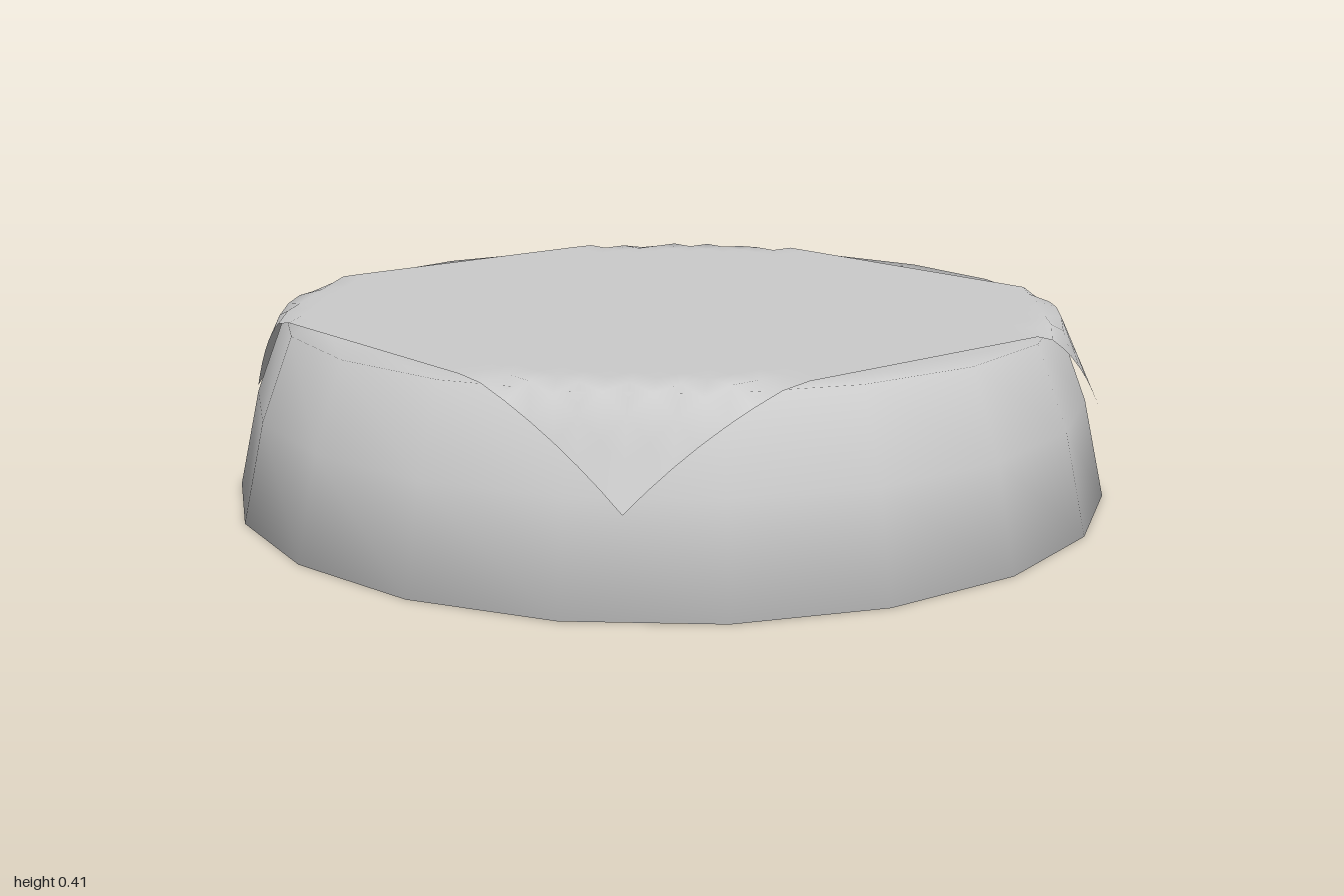
import * as THREE from 'three';

const grey = { color: 0xcccccc };

// Round patty: 20-sided tapered disc with smooth shading
function makePatty() {
  const profile = [[0, 0], [0.9, 0], [1, 0], [0.95, 0.22], [0.88, 0.4], [0.8, 0.402], [0, 0.402]]
    .map(([r, y]) => new THREE.Vector2(r, y));
  const patty = new THREE.Mesh(
    new THREE.LatheGeometry(profile, 20),
    new THREE.MeshStandardMaterial(grey)
  );
  patty.name = 'patty';
  return patty;
}

// Thin square slice lying on the patty, its four corners draped down the side
function makeSlice() {
  const n = 24, bend = 0.885;
  // corners of the slice while still flat (x, z)
  const backRight = [-0.79, -0.8], backLeft = [0.81, -0.78];
  const frontRight = [-0.82, 0.76], frontLeft = [0.73, 0.86];
  const geometry = new THREE.PlaneGeometry(1, 1, n, n);
  const pos = geometry.attributes.position;
  const mix = THREE.MathUtils.lerp;
  for (let i = 0; i < pos.count; i++) {
    const u = pos.getX(i) + 0.5, v = 0.5 - pos.getY(i);
    let x = mix(mix(backRight[0], backLeft[0], u), mix(frontRight[0], frontLeft[0], u), v);
    let z = mix(mix(backRight[1], backLeft[1], u), mix(frontRight[1], frontLeft[1], u), v);
    // past the rim the sheet folds over and follows the sloping wall
    const s = Math.hypot(x, z), over = Math.max(0, s - bend);
    if (over > 0) {
      const k = (bend + over * 0.42) / s;
      x *= k;
      z *= k;
    }
    pos.setXYZ(i, x, 0.413 - over * 0.91, z);
  }
  geometry.computeVertexNormals();
  const slice = new THREE.Mesh(
    geometry,
    new THREE.MeshStandardMaterial({ ...grey, side: THREE.DoubleSide })
  );
  slice.name = 'cheeseSlice';
  return slice;
}

export function createModel() {
  const model = new THREE.Group();
  model.name = 'cheesePatty';
  model.add(makePatty(), makeSlice());
  return model;
}
